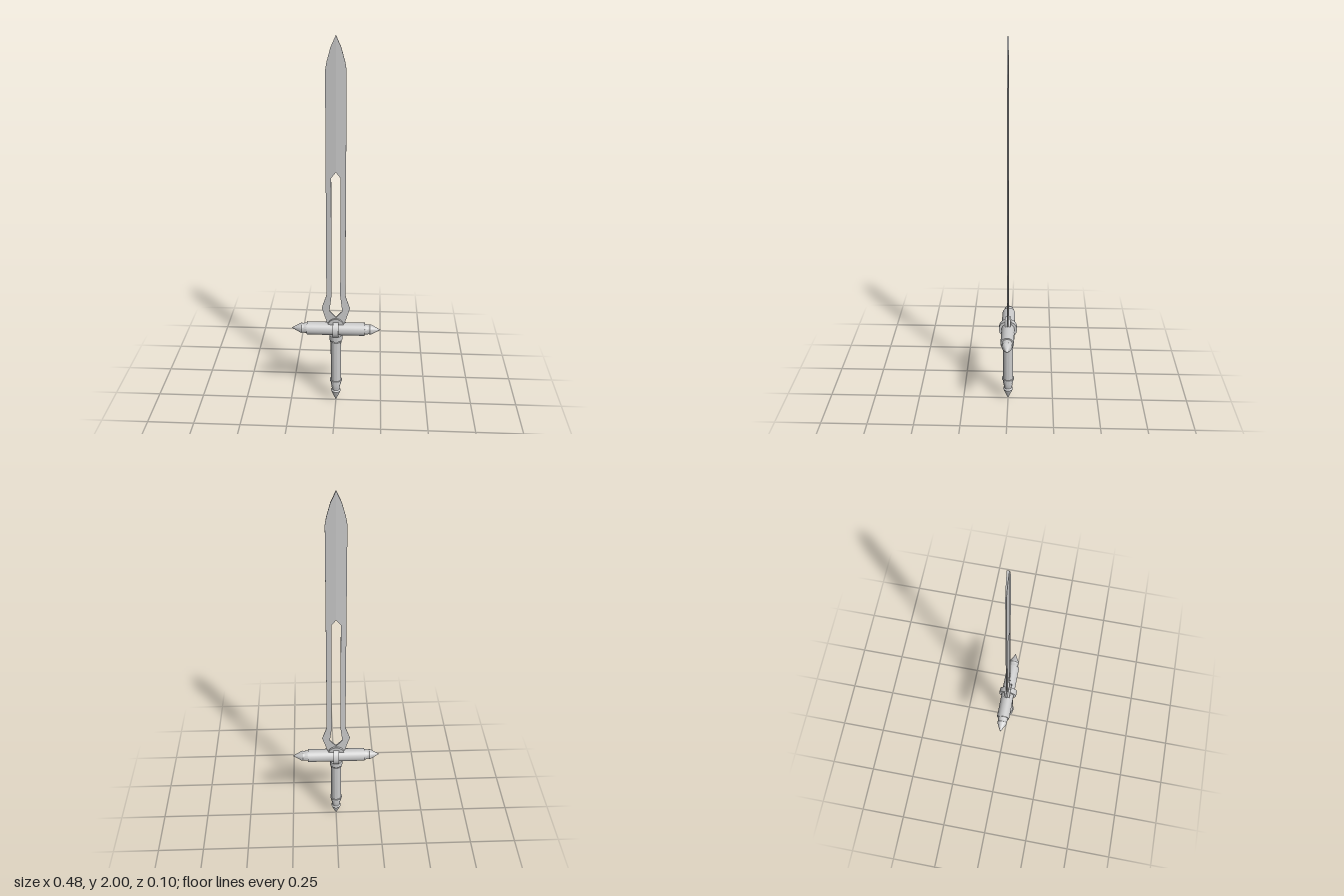
import * as THREE from 'three';
import { toCreasedNormals } from 'three/addons/utils/BufferGeometryUtils.js';

const material = new THREE.MeshStandardMaterial({ color: 0xcccccc });

function addPart(parent, name, geometry) {
  const mesh = new THREE.Mesh(geometry, material);
  mesh.name = name;
  parent.add(mesh);
  return mesh;
}

// Turned part from [radius, height] pairs, listed from low to high
function turned(profile, segments = 32) {
  const points = profile.map(([r, y]) => new THREE.Vector2(r, y));
  return toCreasedNormals(new THREE.LatheGeometry(points, segments), 0.5);
}

// Half of the forked blade, thickest along the centre line and thin at the edge
function halfBlade() {
  const outline = [
    [0, 0.49], [0.045, 0.49], [0.075, 0.585], [0.05, 0.66], [0.05, 1.84],
    [0.043, 1.88], [0.025, 1.945], [0, 2],
    [0, 1.345], [0.023, 1.315], [0.023, 0.66], [0.034, 0.568], [0, 0.53],
  ];
  const shape = new THREE.Shape(outline.map(([x, y]) => new THREE.Vector2(x, y)));
  const geometry = new THREE.ExtrudeGeometry(shape, { depth: 1, bevelEnabled: false });
  const p = geometry.attributes.position;
  for (let i = 0; i < p.count; i++) {
    const half = 0.0055 - 0.06 * p.getX(i);
    p.setZ(i, p.getZ(i) > 0.5 ? half : -half);
  }
  geometry.computeVertexNormals();
  return geometry;
}

export function createModel() {
  const sword = new THREE.Group();
  sword.name = 'sword';
  const guardY = 0.46;

  // Blade: two halves, the second turned about the vertical axis
  const blade = new THREE.Group();
  blade.name = 'blade';
  sword.add(blade);
  const half = halfBlade();
  addPart(blade, 'leftBladeHalf', half);
  addPart(blade, 'rightBladeHalf', half).rotation.y = Math.PI;

  // Round socket that holds the foot of the blade
  const socket = new THREE.CylinderGeometry(0.043, 0.043, 0.03, 32).rotateX(Math.PI / 2);
  addPart(sword, 'bladeSocket', socket).position.y = 0.482;

  // Crossguard: bar, central band and two pointed ends
  const guard = new THREE.Group();
  guard.name = 'crossguard';
  guard.position.y = guardY;
  sword.add(guard);
  addPart(guard, 'guardBar', new THREE.CylinderGeometry(0.035, 0.035, 0.31, 32).rotateZ(Math.PI / 2));
  addPart(guard, 'guardBand', new THREE.CylinderGeometry(0.049, 0.049, 0.03, 32).rotateZ(Math.PI / 2));
  const finial = turned([
    [0.028, 0.15], [0.028, 0.165], [0.0255, 0.173], [0.0255, 0.178],
    [0.0275, 0.182], [0.025, 0.192], [0, 0.238],
  ]);
  for (const side of [1, -1]) {
    addPart(guard, side > 0 ? 'leftFinial' : 'rightFinial', finial).rotation.z = -side * Math.PI / 2;
  }

  // Grip with collars at both ends
  addPart(sword, 'grip', turned([
    [0, 0.108], [0.028, 0.108], [0.028, 0.13], [0.033, 0.13], [0.033, 0.138],
    [0.028, 0.138], [0.028, 0.378], [0.031, 0.378], [0.031, 0.386], [0.028, 0.386],
    [0.028, 0.395], [0.035, 0.395], [0.035, 0.425], [0, 0.425],
  ]));

  // Pointed pommel
  addPart(sword, 'pommel', turned([
    [0, 0], [0.023, 0.054], [0.027, 0.066], [0.021, 0.074], [0.021, 0.08],
    [0.024, 0.088], [0.024, 0.11],
  ]));

  return sword;
}
